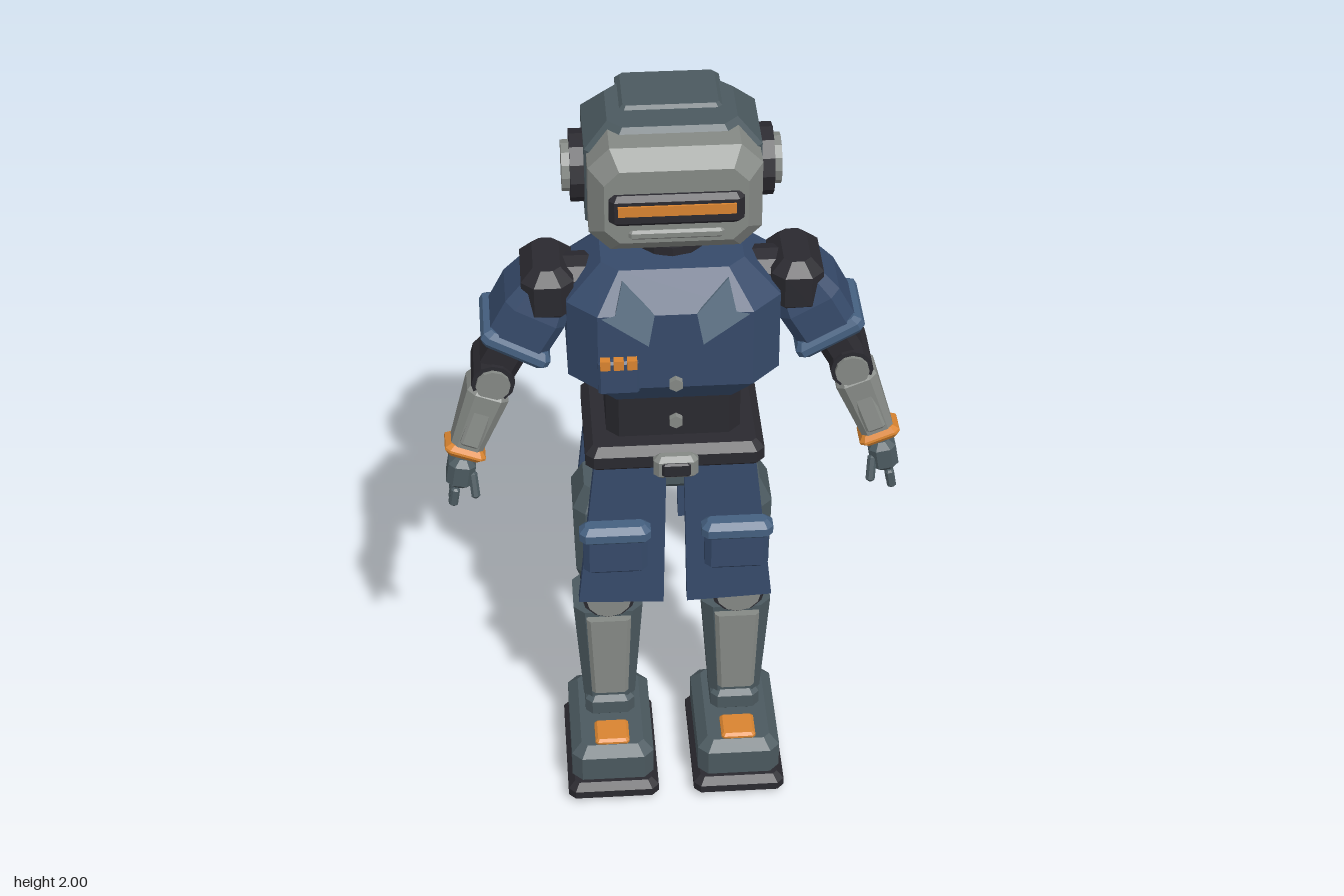
import * as THREE from 'three';

const mat = (name, color) => {
  const m = new THREE.MeshStandardMaterial({ color, flatShading: true });
  m.name = name;
  return m;
};

// Stacked eight-sided sections: [y, halfX, halfZ, cornerCut, centreZ]
function loft(sections) {
  const rings = sections.map(([y, hx, hz, c, cz = 0]) => [
    [hx, -hz + c], [hx, hz - c], [hx - c, hz], [-hx + c, hz],
    [-hx, hz - c], [-hx, -hz + c], [-hx + c, -hz], [hx - c, -hz],
  ].map(([x, z]) => [x, y, z + cz]));
  const pos = [];
  const tri = (a, b, c) => pos.push(...a, ...b, ...c);
  for (let k = 0; k + 1 < rings.length; k++) {
    for (let i = 0; i < 8; i++) {
      const j = (i + 1) % 8, lo = rings[k], hi = rings[k + 1];
      tri(lo[i], hi[i], hi[j]);
      tri(lo[i], hi[j], lo[j]);
    }
  }
  const bottom = rings[0], top = rings[rings.length - 1];
  for (let i = 1; i < 7; i++) {
    tri(bottom[0], bottom[i], bottom[i + 1]);
    tri(top[0], top[i + 1], top[i]);
  }
  const g = new THREE.BufferGeometry();
  g.setAttribute('position', new THREE.Float32BufferAttribute(pos, 3));
  g.computeVertexNormals();
  return g;
}

// Box with every edge cut by c
function chamferBox(w, h, d, c) {
  const x = w / 2, y = h / 2, z = d / 2;
  return loft([[-y, x - c, z - c, c * 0.6], [-y + c, x, z, c], [y - c, x, z, c], [y, x - c, z - c, c * 0.6]]);
}

function plate(points, depth) {
  const shape = new THREE.Shape(points.map(([x, y]) => new THREE.Vector2(x, y)));
  return new THREE.ExtrudeGeometry(shape, { depth, bevelEnabled: false });
}

const discZ = (r, d, n = 12) => new THREE.CylinderGeometry(r, r, d, n).rotateX(Math.PI / 2);
const discX = (r, d, n = 12) => new THREE.CylinderGeometry(r, r, d, n).rotateZ(Math.PI / 2);

export function createModel() {
  const slate = mat('slate metal', 0x4b595f), grey = mat('light grey metal', 0x858985);
  const blue = mat('blue cloth', 0x364a6a), trim = mat('pale blue trim', 0x5f7487);
  const cuffBlue = mat('cuff blue', 0x456080), dark = mat('dark rubber', 0x2a292f);
  const black = mat('black sole', 0x1c1c1f), orange = mat('orange accent', 0xd98430);

  const model = new THREE.Group();
  model.name = 'robot';
  const add = (name, geo, m, x = 0, y = 0, z = 0, parent = model) => {
    const mesh = new THREE.Mesh(geo, m);
    mesh.name = name;
    mesh.position.set(x, y, z);
    parent.add(mesh);
    return mesh;
  };

  // Head
  add('head', chamferBox(0.41, 0.3, 0.31, 0.055), slate, 0, 1.842, -0.02);
  add('headTopPlate', chamferBox(0.246, 0.03, 0.175, 0.012), slate, 0, 1.985, -0.078);
  const face = loft([[0.06, 0.2, 0.135, 0.05], [0.15, 0.2, 0.135, 0.05], [0.19, 0.165, 0.095, 0.035]]);
  add('facePlate', face.rotateX(Math.PI / 2), grey, 0, 1.845, 0);
  add('visorFrame', chamferBox(0.31, 0.08, 0.04, 0.012), dark, 0, 1.842, 0.188);
  add('visorGlow', new THREE.BoxGeometry(0.27, 0.026, 0.008), orange, 0, 1.848, 0.209);
  add('mouthPlate', chamferBox(0.22, 0.024, 0.03, 0.006), grey, 0, 1.773, 0.183);
  for (const s of [1, -1]) {
    add('earRing', discX(0.085, 0.05), dark, s * 0.212, 1.842, -0.01);
    add('earCap', discX(0.06, 0.03), grey, s * 0.241, 1.842, -0.01);
  }

  // Neck
  add('neckCore', new THREE.CylinderGeometry(0.06, 0.06, 0.14, 12), dark, 0, 1.645, -0.012);
  for (const y of [1.645, 1.68]) {
    add('neckRing', new THREE.CylinderGeometry(0.088, 0.088, 0.022, 12), dark, 0, y, -0.012);
  }

  // Torso, waist and belt
  add('jacket', loft([
    [1.25, 0.18, 0.12, 0.04, -0.005], [1.32, 0.255, 0.18, 0.07, -0.012],
    [1.53, 0.255, 0.18, 0.07, -0.012], [1.615, 0.17, 0.105, 0.04, -0.005],
  ]), blue);
  add('waist', chamferBox(0.33, 0.2, 0.235, 0.03), dark, 0, 1.18, -0.01);
  add('belt', chamferBox(0.44, 0.072, 0.325, 0.02), dark, 0, 1.095, 0.005);
  add('buckle', chamferBox(0.11, 0.065, 0.04, 0.012), grey, 0, 1.09, 0.177);
  add('buckleInset', chamferBox(0.07, 0.04, 0.012, 0.005), dark, 0, 1.09, 0.197);
  add('pelvis', chamferBox(0.3, 0.15, 0.24, 0.03), slate, 0, 1.01, -0.025);
  for (const y of [1.335, 1.225]) add('button', discZ(0.018, 0.016, 6), grey, 0, y, 0.176);

  // Chest pocket with three orange markers
  add('chestPocket', chamferBox(0.098, 0.095, 0.024, 0.006), blue, -0.137, 1.362, 0.173);
  for (let i = -1; i <= 1; i++) {
    add('marker', new THREE.BoxGeometry(0.024, 0.026, 0.02), orange, -0.137 + i * 0.032, 1.407, 0.185);
  }

  // Back vent
  add('backVent', chamferBox(0.2, 0.125, 0.03, 0.01), slate, 0, 1.465, -0.204);
  for (let i = 0; i < 4; i++) {
    add('ventSlat', chamferBox(0.16, 0.016, 0.02, 0.004), slate, 0, 1.423 + i * 0.028, -0.224);
  }

  for (const s of [1, -1]) {
    // Lapel leaning back towards the collar
    const lapel = plate([[0.125, 0.15], [0.05, 0.06], [0.065, -0.02], [0.175, 0.055], [0.143, 0.062]]
      .map(([x, y]) => [s * x, y]), 0.009);
    add('lapel', lapel, trim, 0, 1.47, 0.171).rotation.x = -0.17;

    // Coat tails
    const tail = [[0.022, 0.43], [0.2, 0.43], [0.245, 0.01], [0.03, 0]].map(([x, y]) => [s * x, y]);
    add('frontCoatTail', plate(tail, 0.03), blue, 0, 0.64, 0.135).rotation.x = -0.02;
    add('backCoatTail', plate(tail, 0.03), blue, 0, 0.655, -0.187).rotation.x = -0.03;
    add('tailPocket', chamferBox(0.16, 0.14, 0.05, 0.015), blue, s * 0.152, 0.835, 0.178);
    add('tailPocketFlap', chamferBox(0.178, 0.052, 0.06, 0.015), cuffBlue, s * 0.152, 0.893, 0.186);

    // Leg
    const leg = new THREE.Group();
    leg.name = s > 0 ? 'leftLeg' : 'rightLeg';
    leg.position.x = s * 0.167;
    model.add(leg);
    const onLeg = (name, geo, m, y = 0, z = 0) => add(name, geo, m, 0, y, z, leg);
    onLeg('thigh', loft([
      [0.62, 0.065, 0.075, 0.025], [0.67, 0.08, 0.092, 0.03],
      [0.87, 0.085, 0.092, 0.03], [0.93, 0.055, 0.065, 0.02],
    ]), slate, 0, -0.008);
    onLeg('knee', discZ(0.07, 0.19), dark, 0.607, 0.002);
    onLeg('kneeCap', discZ(0.058, 0.02), grey, 0.607, 0.1);
    onLeg('shin', loft([[0.22, 0.068, 0.07, 0.022], [0.53, 0.09, 0.082, 0.028]]), slate, 0, -0.012);
    const shinPlate = loft([[0.265, 0.048, 0.022, 0.01], [0.515, 0.058, 0.022, 0.01]]);
    onLeg('shinPlate', shinPlate, grey, 0, 0.068);
    onLeg('ankle', chamferBox(0.13, 0.075, 0.15, 0.018), slate, 0.195, -0.003);
    onLeg('foot', chamferBox(0.216, 0.125, 0.33, 0.026), slate, 0.108, 0.05);
    onLeg('sole', chamferBox(0.24, 0.058, 0.36, 0.018), dark, 0.029, 0.05);
    onLeg('soleTread', new THREE.BoxGeometry(0.2, 0.006, 0.32), black, 0.003, 0.05);
    onLeg('toePlate', chamferBox(0.09, 0.024, 0.085, 0.007), orange, 0.172, 0.145);

    // Arm: shoulder, sleeve, elbow, forearm and hand
    const arm = new THREE.Group();
    arm.name = s > 0 ? 'leftArm' : 'rightArm';
    model.add(arm);
    const limb = (name, a, b) => {
      const g = new THREE.Group();
      g.name = name;
      g.position.set(s * a[0], a[1], a[2]);
      const dir = new THREE.Vector3(s * (b[0] - a[0]), b[1] - a[1], b[2] - a[2]).normalize();
      g.quaternion.setFromUnitVectors(new THREE.Vector3(0, -1, 0), dir);
      arm.add(g);
      return g;
    };
    add('shoulderJoint', discX(0.07, 0.12), dark, s * 0.24, 1.52, -0.01, arm);
    add('shoulderPad', chamferBox(0.125, 0.14, 0.205, 0.03), dark, s * 0.298, 1.527, -0.008, arm);
    const upper = limb('upperArm', [0.305, 1.52, -0.005], [0.44, 1.28, 0.005]);
    add('sleeve', loft([[-0.16, 0.078, 0.095, 0.025], [-0.05, 0.08, 0.097, 0.025], [0.03, 0.06, 0.08, 0.02]]),
      blue, 0, 0, 0, upper);
    add('cuff', chamferBox(0.18, 0.045, 0.21, 0.014), cuffBlue, 0, -0.152, 0, upper);
    add('upperArmCore', chamferBox(0.095, 0.12, 0.13, 0.02), dark, 0, -0.205, 0, upper);
    add('elbow', discZ(0.053, 0.14), dark, s * 0.437, 1.283, 0.008, arm);
    add('elbowCap', discZ(0.042, 0.02), grey, s * 0.437, 1.283, 0.078, arm);

    const fore = limb('forearm', [0.445, 1.255, 0.02], [0.515, 1.075, 0.052]);
    add('forearmShell', loft([[-0.19, 0.04, 0.04, 0.014], [-0.02, 0.053, 0.068, 0.02], [0.005, 0.042, 0.052, 0.015]]),
      grey, 0, 0, 0, fore);
    add('forearmPlate', chamferBox(0.05, 0.13, 0.02, 0.006), grey, 0, -0.1, 0.05, fore);
    add('wristBand', chamferBox(0.104, 0.03, 0.104, 0.012), orange, 0, -0.193, 0, fore);

    const hand = limb('hand', [0.52, 1.055, 0.055], [0.54, 0.94, 0.06]);
    add('palm', chamferBox(0.068, 0.085, 0.088, 0.016), slate, 0, -0.04, 0, hand);
    for (let i = 0; i < 4; i++) {
      const length = i === 0 || i === 3 ? 0.052 : 0.062;
      add('finger', chamferBox(0.022, length, 0.018, 0.005), slate, s * 0.008, -0.08 - length / 2, -0.033 + i * 0.022, hand);
    }
    const thumb = add('thumb', chamferBox(0.022, 0.07, 0.022, 0.006), slate, -s * 0.036, -0.062, 0.036, hand);
    thumb.rotation.set(-0.3, 0, -s * 0.25);
  }
  return model;
}
